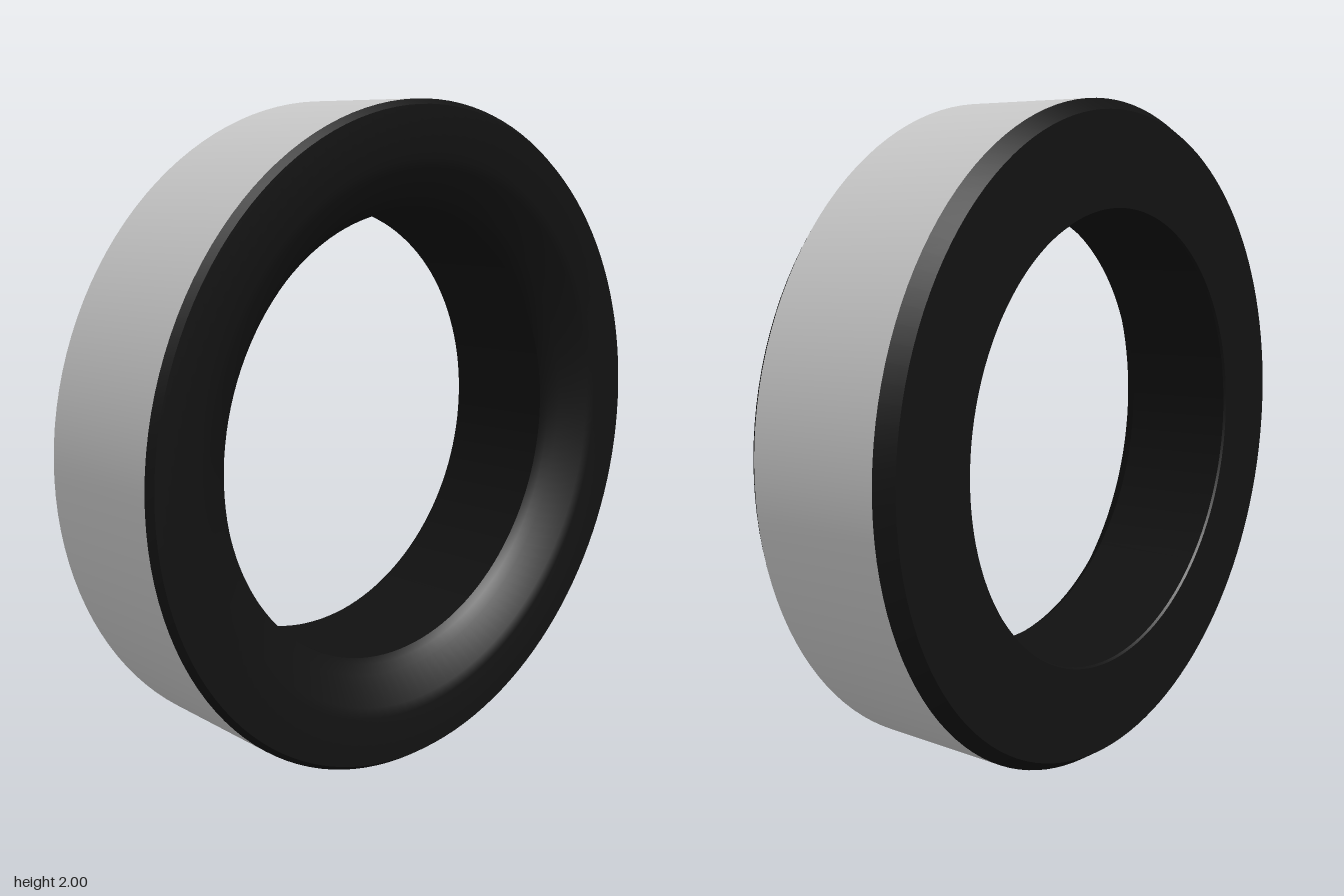
import * as THREE from 'three';
import { toCreasedNormals } from 'three/addons/utils/BufferGeometryUtils.js';

const SEGMENTS = 128;

// Revolves [radius, x] points around the x axis; outer walls run toward +x.
function revolve(name, profile, color) {
  const points = profile.map(([r, x]) => new THREE.Vector2(r, x));
  const lathe = new THREE.LatheGeometry(points, SEGMENTS).rotateZ(-Math.PI / 2);
  const mesh = new THREE.Mesh(
    toCreasedNormals(lathe, Math.PI / 7),
    new THREE.MeshStandardMaterial({ color, side: THREE.DoubleSide })
  );
  mesh.name = name;
  return mesh;
}

export function createModel() {
  const group = new THREE.Group();
  group.name = 'sealRing';

  // Plain metal band around the outside
  const band = revolve('outerBand', [[1, -0.195], [1, 0.222]], 0xcccccc);

  // Right side: narrow chamfer, flat rim, rounded flare into the bore
  const rightSide = [
    [1, 0.222], [0.985, 0.242], [0.84, 0.242],
    [0.81, 0.232], [0.73, 0.172], [0.70, 0.152], [0.685, 0.13],
  ];
  // Left side: flat face with a sharp bore edge and a wider chamfer
  const leftSide = [[0.685, -0.235], [0.69, -0.242], [0.968, -0.242], [1, -0.195]];
  const body = revolve('rubberBody', [...rightSide, ...leftSide], 0x111111);

  group.add(band, body);
  group.position.y = 1;

  const model = new THREE.Group();
  model.add(group);
  return model;
}
